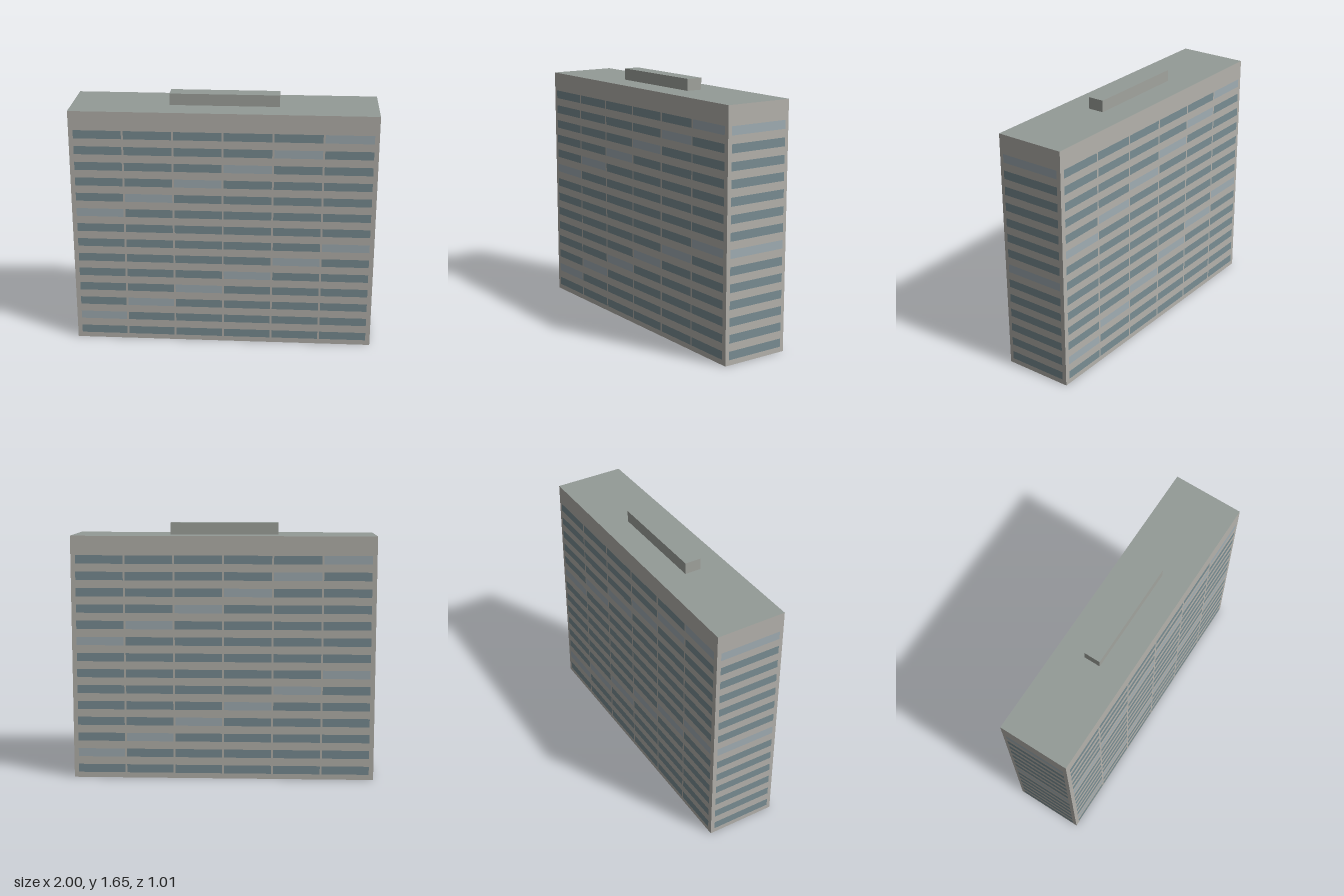
import * as THREE from 'three';

const LENGTH = 1.952, DEPTH = 0.457, HEIGHT = 1.58;
const FLOORS = 14, FIRST_FLOOR = 0.062, FLOOR_STEP = 0.1052;
const WINDOW_HEIGHT = 0.054, GAP = 0.0025;

const paint = (color) => new THREE.MeshStandardMaterial({ color });

export function createModel() {
  const wall = paint(0xb4b2ac);
  const roof = paint(0x949b97);
  const penthouseWall = paint(0xa1a49e);
  const glass = paint(0x798d93);
  const paleGlass = paint(0xa0adb3);

  const model = new THREE.Group();
  model.name = 'apartmentBlock';

  // The whole block stands turned on its plot
  const building = new THREE.Group();
  building.name = 'building';
  building.rotation.y = -Math.atan2(0.573, 1.866);
  model.add(building);

  // Box resting on a given level, with its own top material
  function addBlock(name, w, h, d, y, side, top) {
    const mesh = new THREE.Mesh(
      new THREE.BoxGeometry(w, h, d),
      [side, side, top, side, side, side]
    );
    mesh.name = name;
    mesh.position.y = y + h / 2;
    building.add(mesh);
  }

  addBlock('mainBlock', LENGTH, HEIGHT, DEPTH, 0, wall, roof);
  addBlock('roofPenthouse', 0.70, 0.075, 0.106, HEIGHT, penthouseWall, roof);

  // Rows of window bands on one facade; pale panes climb diagonally
  function addFacade(name, angle, distance, columns, width, pitch) {
    const facade = new THREE.Group();
    facade.name = name;
    facade.rotation.y = angle;
    const pane = new THREE.PlaneGeometry(width, WINDOW_HEIGHT);
    for (let floor = 0; floor < FLOORS; floor++) {
      for (let col = 0; col < columns; col++) {
        const pale = (floor + col) % 7 === 6;
        const mesh = new THREE.Mesh(pane, pale ? paleGlass : glass);
        mesh.name = 'window';
        mesh.position.set(
          ((columns - 1) / 2 - col) * pitch,
          FIRST_FLOOR + floor * FLOOR_STEP,
          distance + GAP
        );
        facade.add(mesh);
      }
    }
    building.add(facade);
  }

  addFacade('frontWindows', 0, DEPTH / 2, 6, 0.305, 0.3176);
  addFacade('backWindows', Math.PI, DEPTH / 2, 6, 0.305, 0.3176);
  addFacade('leftEndWindows', Math.PI / 2, LENGTH / 2, 1, 0.405, 0);
  addFacade('rightEndWindows', -Math.PI / 2, LENGTH / 2, 1, 0.405, 0);

  return model;
}
